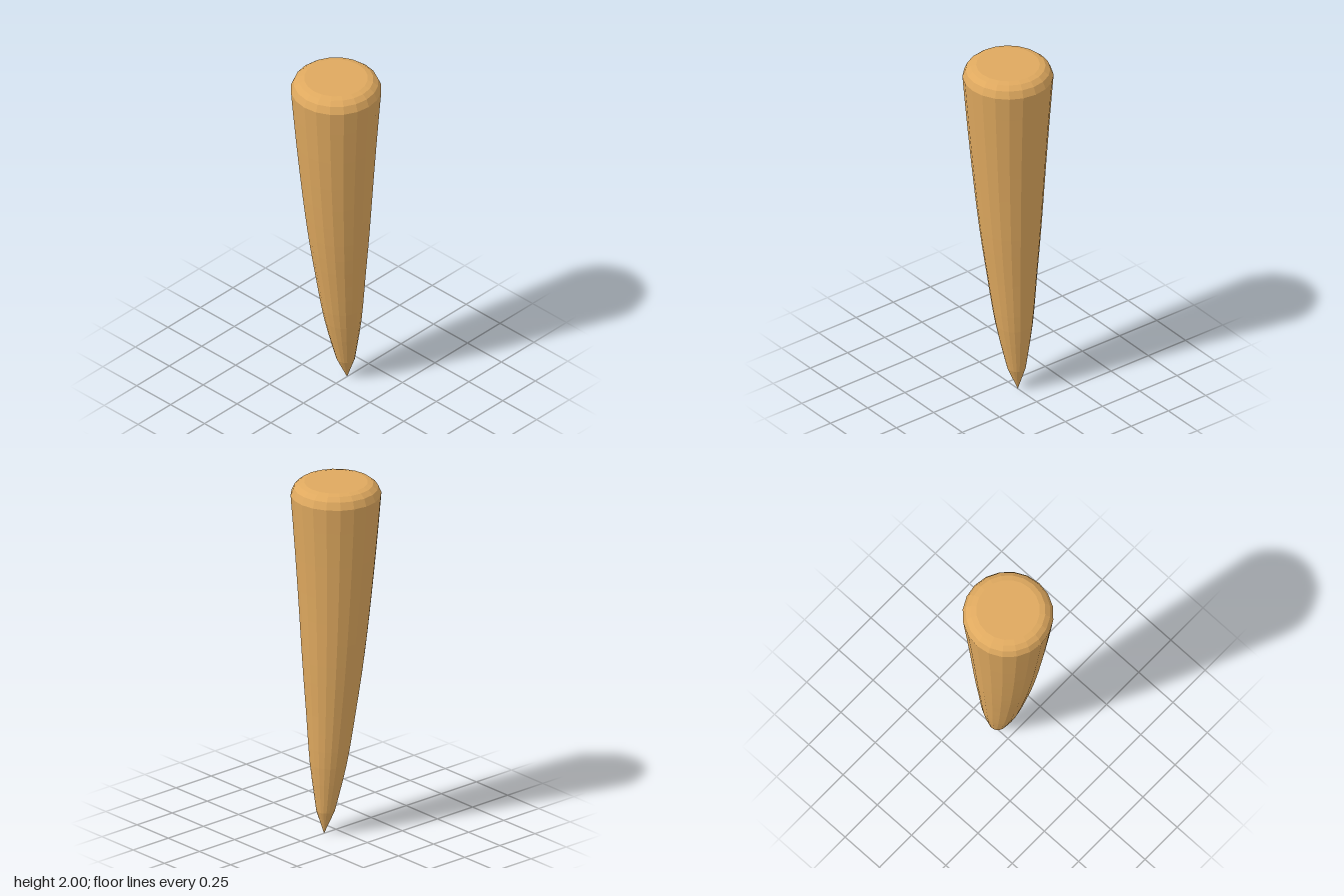
import * as THREE from 'three';

const SIDES = 20;
const SHOULDER = 1.93; // height where the rounded top begins
const TIP_X = 0.085; // sideways drift of the tip

export function createModel() {
  const group = new THREE.Group();
  group.name = 'spike';

  // Body radii from the sharp tip up to the shoulder, smoothed with a spline
  const body = new THREE.SplineCurve([
    [0.05, 0.13], [0.1, 0.4], [0.135, 0.7], [0.167, 1.0], [0.201, 1.4], [0.243, SHOULDER],
  ].map(([r, y]) => new THREE.Vector2(r, y)));
  const profile = [
    new THREE.Vector2(0, 0),
    ...body.getPoints(15),
    // Rounded rim and flat top
    new THREE.Vector2(0.226, 1.97),
    new THREE.Vector2(0.2, 1.992),
    new THREE.Vector2(0.17, 2),
    new THREE.Vector2(0, 2),
  ];
  const geometry = new THREE.LatheGeometry(profile, SIDES);

  // Curve the lower part gently towards +x
  const pos = geometry.attributes.position;
  for (let i = 0; i < pos.count; i++) {
    const t = Math.max(0, 1 - pos.getY(i) / SHOULDER);
    pos.setX(i, pos.getX(i) + TIP_X * t * t);
  }
  geometry.computeVertexNormals();

  const material = new THREE.MeshStandardMaterial({ color: 0xdfa95f, flatShading: true });
  const spike = new THREE.Mesh(geometry, material);
  spike.name = 'curvedSpikeBody';
  group.add(spike);
  return group;
}
